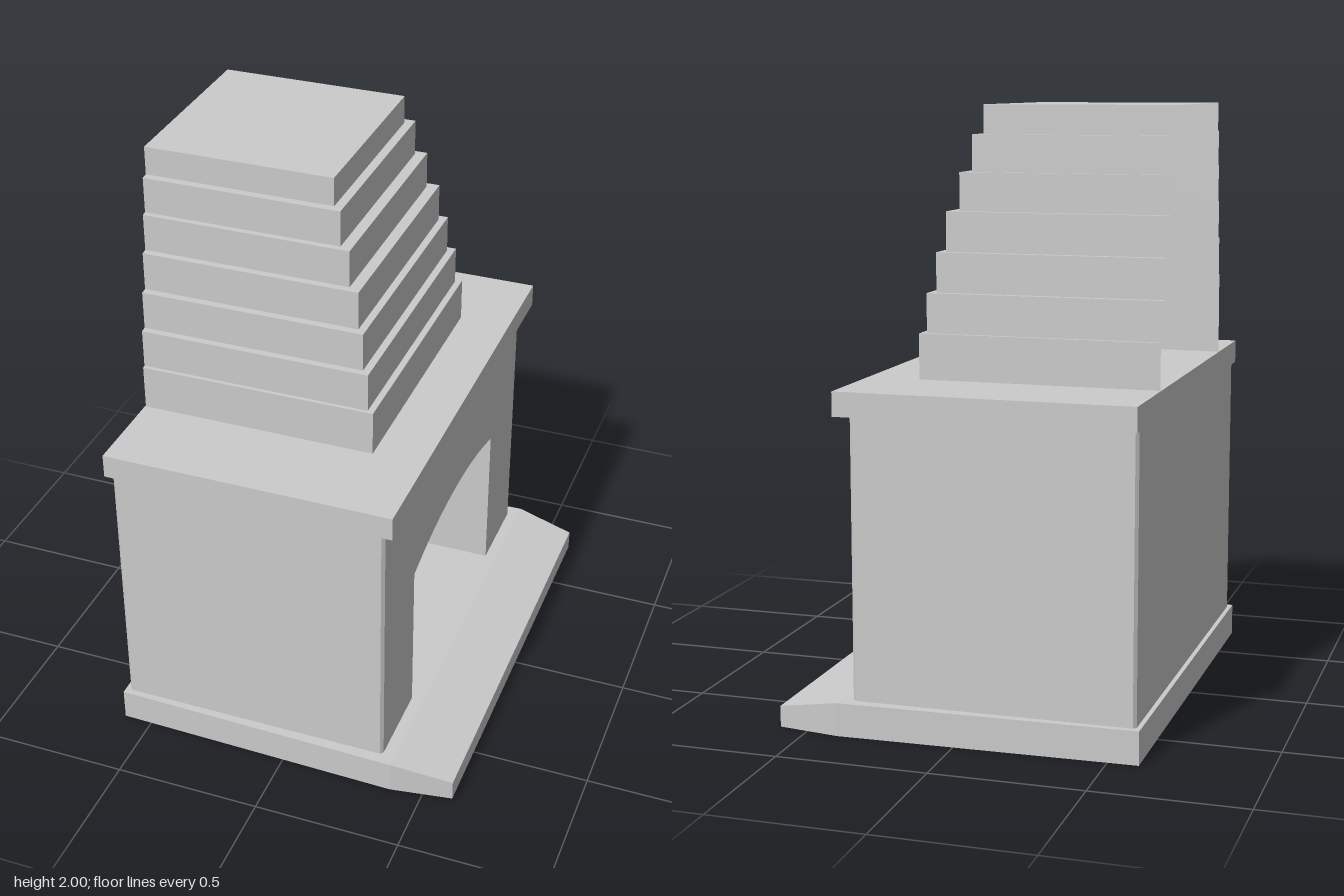
import * as THREE from 'three';

const material = new THREE.MeshStandardMaterial({ color: 0xcccccc, flatShading: true });
const thinMaterial = new THREE.MeshStandardMaterial({ color: 0xcccccc, flatShading: true, side: THREE.DoubleSide });

function addPart(group, name, geometry, mat = material) {
  const mesh = new THREE.Mesh(geometry, mat);
  mesh.name = name;
  group.add(mesh);
  return mesh;
}

// Extrudes a floor plan given as [x, z] points from y0 up to y1
function extrudePlan(points, y0, y1) {
  const shape = new THREE.Shape(points.map(([x, z]) => new THREE.Vector2(x, -z)));
  const geometry = new THREE.ExtrudeGeometry(shape, { depth: y1 - y0, bevelEnabled: false });
  return geometry.rotateX(-Math.PI / 2).translate(0, y0, 0);
}

// Hearth slab: level under the body, then sloping and narrowing at the front
function hearthGeometry() {
  const sections = [
    { x: -0.6, top: 0.11, half: 0.75 },
    { x: 0.39, top: 0.11, half: 0.77 },
    { x: 0.6, top: 0.07, half: 0.738 },
  ];
  const geometry = new THREE.BoxGeometry(2, 1, 1, 2, 1, 1);
  const p = geometry.attributes.position;
  for (let i = 0; i < p.count; i++) {
    const s = sections[Math.round(p.getX(i)) + 1];
    p.setXYZ(i, s.x, p.getY(i) > 0 ? s.top : 0, Math.sign(p.getZ(i)) * s.half);
  }
  geometry.computeVertexNormals();
  return geometry;
}

// Lintel with a shallow arched underside
function lintelGeometry(half, spring, rise, top, depth, frontX) {
  const radius = (half * half + rise * rise) / (2 * rise);
  const angle = Math.asin(half / radius);
  const shape = new THREE.Shape();
  shape.moveTo(half, top);
  shape.lineTo(-half, top);
  shape.lineTo(-half, spring);
  shape.absarc(0, spring + rise - radius, radius, Math.PI / 2 + angle, Math.PI / 2 - angle, true);
  const geometry = new THREE.ExtrudeGeometry(shape, { depth, bevelEnabled: false, curveSegments: 12 });
  return geometry.rotateY(Math.PI / 2).translate(frontX - depth, 0, 0);
}

// Stepped hood: thin walls on three sides, open at the back
function hoodGeometry(levels, fronts, halves) {
  const rows = [];
  fronts.forEach((front, i) => {
    const back = -0.587 - 0.013 * i / (fronts.length - 1);
    for (const y of [levels[i], levels[i + 1]]) {
      rows.push([[back, y, halves[i]], [front, y, halves[i]], [front, y, -halves[i]], [back, y, -halves[i]]]);
    }
  });
  const positions = [];
  for (let r = 0; r < rows.length - 1; r++) {
    for (let c = 0; c < 3; c++) {
      const a = rows[r][c], b = rows[r][c + 1], d = rows[r + 1][c], e = rows[r + 1][c + 1];
      positions.push(...a, ...b, ...e, ...a, ...e, ...d);
    }
  }
  // Lid
  const [a, b, c, d] = rows[rows.length - 1];
  positions.push(...a, ...b, ...c, ...a, ...c, ...d);
  const geometry = new THREE.BufferGeometry();
  geometry.setAttribute('position', new THREE.Float32BufferAttribute(positions, 3));
  geometry.computeVertexNormals();
  return geometry;
}

export function createModel() {
  const group = new THREE.Group();
  group.name = 'fireplace';

  addPart(group, 'hearth', hearthGeometry());

  // Side and back walls around the firebox, with chamfered outer corners
  const back = -0.585, front = 0.35, half = 0.73, c = 0.01, opening = 0.43, inner = -0.5;
  const side = [[inner, opening], [front, opening], [front, half - c], [front - c, half], [back + c, half], [back, half - c]];
  const mirrored = side.map(([x, z]) => [x, -z]).reverse();
  addPart(group, 'walls', extrudePlan([...side, ...mirrored], 0.11, 1.04));

  // Front lintel and firebox ceiling
  addPart(group, 'lintel', lintelGeometry(opening, 0.65, 0.06, 1.04, 0.1, front));
  const ceiling = addPart(group, 'fireboxCeiling', new THREE.BoxGeometry(0.75, 0.14, 2 * opening));
  ceiling.position.set(-0.125, 0.97, 0);

  // Mantel slab with a fine chamfer along its top edge
  const mantel = addPart(group, 'mantel', new THREE.BoxGeometry(0.98, 0.08, 1.54));
  mantel.position.set(-0.1, 1.08, 0);

  addPart(group, 'hood', hoodGeometry(
    [1.12, 1.27, 1.4, 1.53, 1.66, 1.785, 1.905, 2],
    [0.212, 0.19, 0.165, 0.14, 0.102, 0.065, 0.035],
    [0.459, 0.445, 0.421, 0.395, 0.371, 0.351, 0.324],
  ), thinMaterial);

  return group;
}
